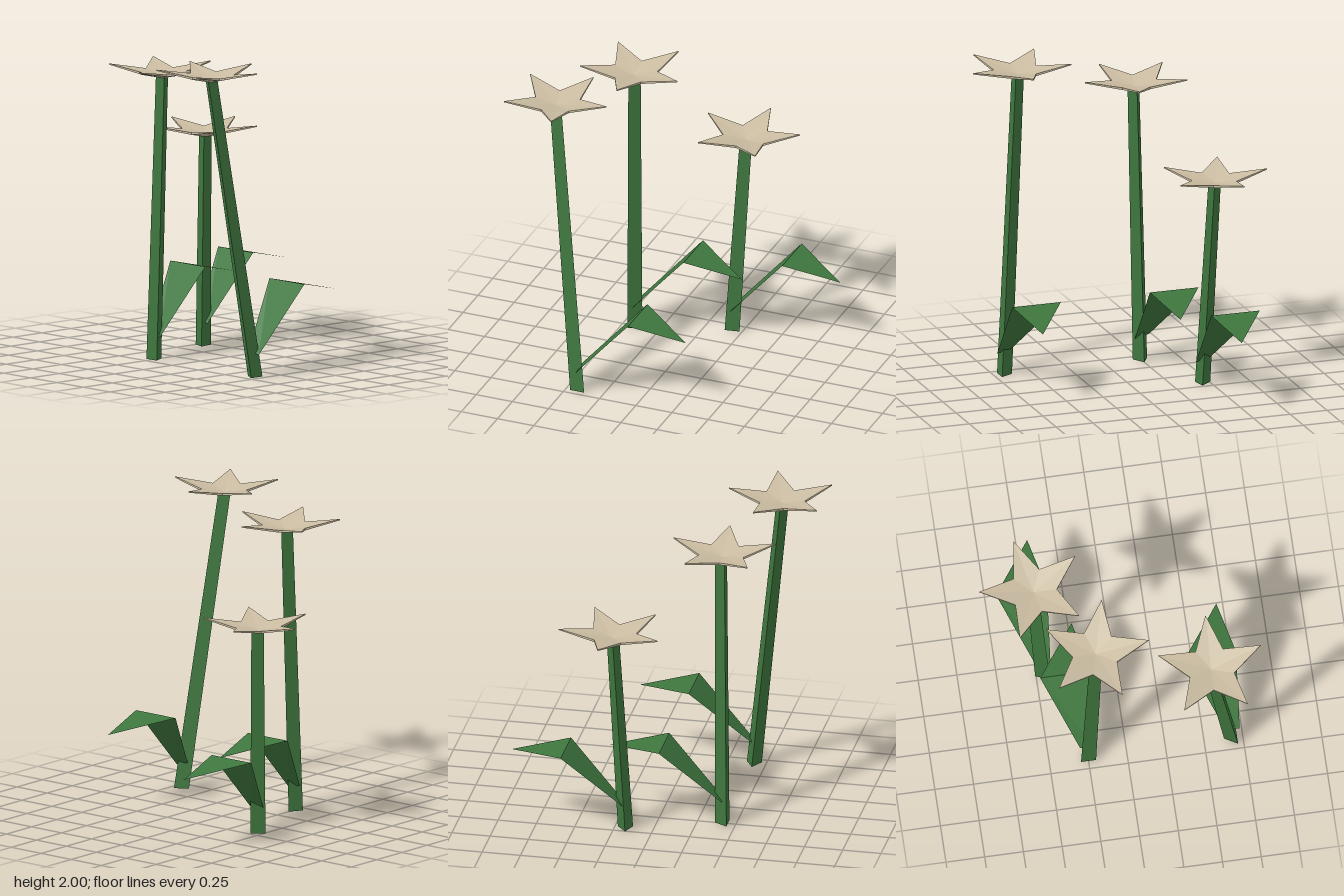
import * as THREE from 'three';

const green = new THREE.MeshStandardMaterial({ name: 'leaf green', color: 0x3e763e, flatShading: true, side: THREE.DoubleSide });
const cream = new THREE.MeshStandardMaterial({ name: 'petal cream', color: 0xcbbda2, flatShading: true, side: THREE.DoubleSide });

const DEG = Math.PI / 180;

// base and top are stem centres; facing is the turn of the stem's front side,
// spin is the turn of the star about its centre (degrees)
const plants = [
  { base: [-0.42, 0.685], top: [-0.64, 1.91, 0.515], facing: 0, spin: 2 },
  { base: [-0.42, -0.25], top: [-0.40, 1.825, -0.197], facing: 30, spin: 14.5 },
  { base: [0.18, -0.45], top: [0.25, 1.335, -0.506], facing: 10, spin: -13.5 },
];

function meshFrom(name, triangles, material) {
  const g = new THREE.BufferGeometry();
  g.setAttribute('position', new THREE.Float32BufferAttribute(triangles.flat(2), 3));
  g.computeVertexNormals();
  const m = new THREE.Mesh(g, material);
  m.name = name;
  return m;
}

// Leaning, slightly tapering three-sided stem
function makeStem({ base, top, facing }) {
  const height = top[1] + 0.01;
  const g = new THREE.CylinderGeometry(0.046, 0.056, height, 3, 1);
  g.rotateY((60 + facing) * DEG);
  g.translate(0, height / 2, 0);
  const p = g.attributes.position;
  for (let i = 0; i < p.count; i++) {
    const t = p.getY(i) / height;
    p.setX(i, p.getX(i) + THREE.MathUtils.lerp(base[0], top[0], t));
    p.setZ(i, p.getZ(i) + THREE.MathUtils.lerp(base[1], top[2], t));
  }
  const m = new THREE.Mesh(g, green);
  m.name = 'stem';
  return m;
}

// Folded leaf: rises from the stem to a crease, then droops to a point
function makeLeaf([x, z]) {
  const rootA = [x, 0.145, z + 0.045], rootB = [x + 0.005, 0.17, z - 0.05];
  const creaseA = [x + 0.37, 0.567, z + 0.075], creaseB = [x + 0.37, 0.567, z - 0.255];
  const tip = [x + 0.74, 0.485, z];
  return meshFrom('leaf', [
    [rootA, creaseA, creaseB], [rootA, creaseB, rootB], [creaseA, tip, creaseB],
  ], green);
}

// Shallow five-pointed star cup with a thin rim
function makeFlower({ top: [x, y, z], spin }) {
  const ring = (tipY, notchY) => Array.from({ length: 10 }, (_, i) => {
    const a = (spin + i * 36) * DEG, r = i % 2 ? 0.15 : 0.347;
    return [x + r * Math.cos(a), y + (i % 2 ? notchY : tipY), z + r * Math.sin(a)];
  });
  const upper = ring(0.088, 0.048), lower = ring(0.08, 0.033);
  const tris = [];
  for (let i = 0; i < 10; i++) {
    const j = (i + 1) % 10;
    tris.push([[x, y + 0.02, z], upper[j], upper[i]]);
    tris.push([[x, y, z], lower[i], lower[j]]);
    tris.push([lower[i], upper[i], upper[j]], [lower[i], upper[j], lower[j]]);
  }
  return meshFrom('flower', tris, cream);
}

export function createModel() {
  const model = new THREE.Group();
  model.name = 'flowers';
  for (const plant of plants) {
    const group = new THREE.Group();
    group.name = 'plant';
    group.add(makeStem(plant), makeLeaf(plant.base), makeFlower(plant));
    model.add(group);
  }
  return model;
}
